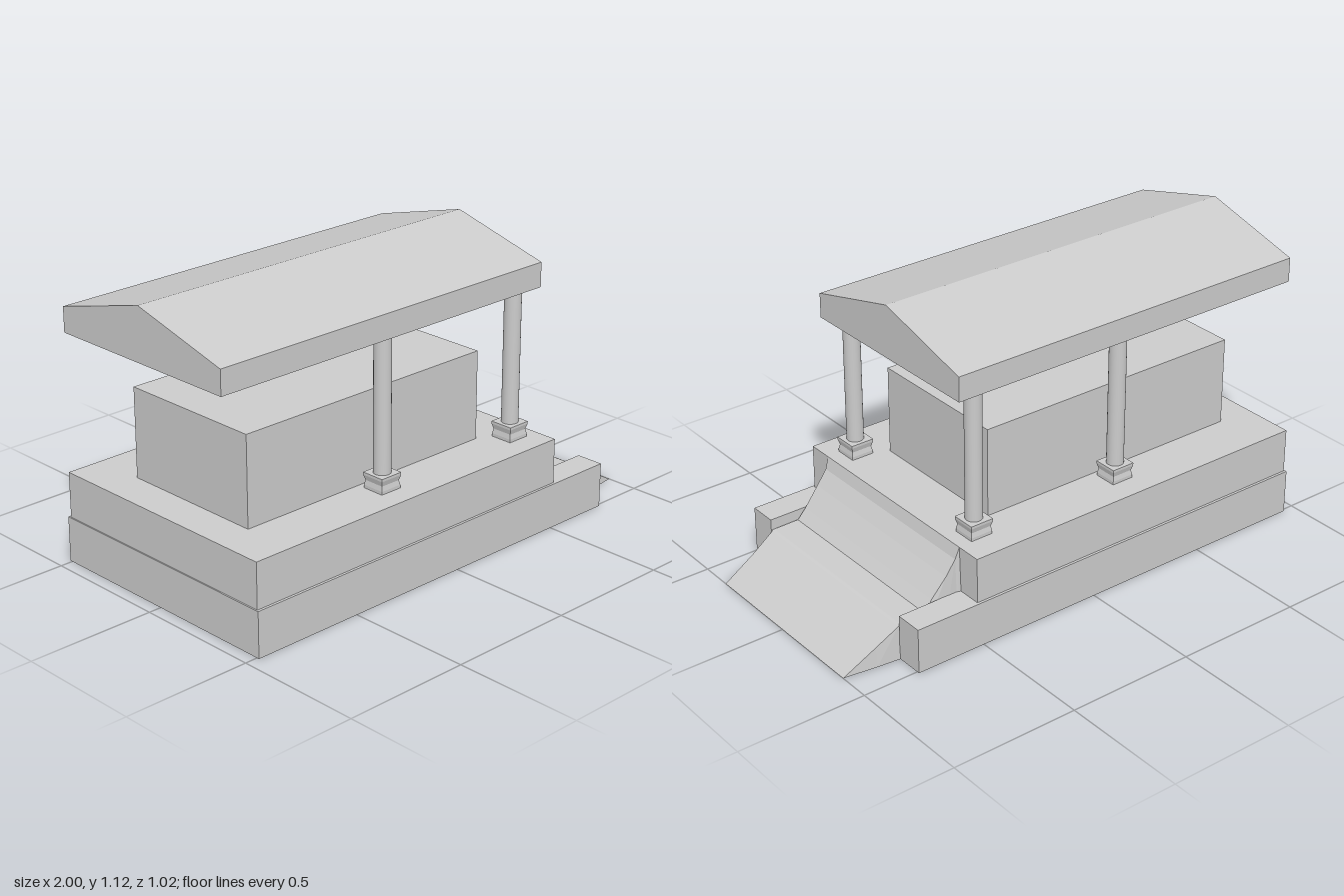
import * as THREE from 'three';

const mat = new THREE.MeshStandardMaterial({ color: 0xcccccc, flatShading: true, side: THREE.DoubleSide });
const smooth = new THREE.MeshStandardMaterial({ color: 0xcccccc });

function add(parent, name, geometry, x = 0, y = 0, z = 0, material = mat) {
  const mesh = new THREE.Mesh(geometry, material);
  mesh.name = name;
  mesh.position.set(x, y, z);
  parent.add(mesh);
  return mesh;
}

// Skin a list of cross-sections, each an equal-length row of [x, y, z]
function skin(rows) {
  const n = rows[0].length, index = [];
  for (let i = 0; i < rows.length - 1; i++)
    for (let j = 0; j < n - 1; j++) {
      const a = i * n + j, b = a + n;
      index.push(a, a + 1, b, b, a + 1, b + 1);
    }
  const g = new THREE.BufferGeometry();
  g.setAttribute('position', new THREE.Float32BufferAttribute(rows.flat(2), 3));
  g.setIndex(index);
  g.computeVertexNormals();
  return g;
}

// Upright wall along a plan path of [x, z]
const wall = (path, y0, y1) => skin([y0, y1].map(y => path.map(([x, z]) => [x, y, z])));

// Horizontal sheet with a plan outline of [x, z]
function deck(outline) {
  const shape = new THREE.Shape(outline.map(([x, z]) => new THREE.Vector2(x, -z)));
  return new THREE.ShapeGeometry(shape).rotateX(-Math.PI / 2);
}

export function createModel() {
  const model = new THREE.Group();
  model.name = 'pavilion';

  // Lower tier: open underneath, with a notch for the ramp
  const lower = new THREE.Group();
  lower.name = 'lowerTier';
  model.add(lower);
  const outer = [[0.78, 0.4], [0.78, 0.51], [-0.95, 0.51], [-0.95, -0.51], [0.78, -0.51], [0.78, -0.4]];
  add(lower, 'lowerWalls', wall(outer, 0, 0.175));
  add(lower, 'lowerDeck', deck([...outer, [0.52, -0.4], [0.52, 0.4]]), 0, 0.175);
  for (const s of [1, -1])
    add(lower, 'notchWall', wall([[0.52, s * 0.4], [0.78, s * 0.4]], 0.13, 0.175));

  // Upper tier
  const upper = new THREE.Group();
  upper.name = 'upperTier';
  model.add(upper);
  const plan = [[0.52, 0.5], [-0.945, 0.5], [-0.945, -0.5], [0.52, -0.5]];
  add(upper, 'upperWalls', wall([...plan, plan[0]], 0.175, 0.35));
  add(upper, 'upperDeck', deck(plan), 0, 0.35);

  // Two-stage ramp: x, height, half width, foot of the side skirt
  const profile = [
    [0.52, 0.35, 0.4, 0.135], [0.535, 0.305, 0.395, 0.135], [0.575, 0.25, 0.395, 0.135],
    [0.635, 0.178, 0.39, 0.135], [0.67, 0.14, 0.39, 0.135], [0.77, 0.135, 0.395, 0.13],
    [0.78, 0.13, 0.395, 0], [0.87, 0.074, 0.385, 0], [1, 0, 0.375, 0],
  ];
  add(model, 'ramp', skin(profile.map(([x, y, w, foot]) => {
    const flare = y > foot ? 0.008 : 0;
    return [[x, foot, -w - flare], [x, y, -w], [x, y, w], [x, foot, w + flare]];
  })));

  // Main block
  add(model, 'mainBlock', new THREE.BoxGeometry(1.115, 0.345, 0.59), -0.2425, 0.5225, 0);

  // Columns on waisted square plinths
  const waist = [[0, 0], [0.045, 0], [0.045, 0.012], [0.041, 0.03], [0.047, 0.05], [0.047, 0.06], [0, 0.06]]
    .map(([r, y]) => new THREE.Vector2(r * Math.SQRT2, y));
  const plinth = new THREE.LatheGeometry(waist, 4).rotateY(Math.PI / 4);
  const shaft = new THREE.CylinderGeometry(0.032, 0.032, 0.52, 24);
  for (const [x, z] of [[-0.24, 0.367], [0.42, 0.365], [-0.215, -0.36], [0.42, -0.352]]) {
    const column = new THREE.Group();
    column.name = 'column';
    column.position.set(x, 0.35, z);
    add(column, 'plinth', plinth);
    add(column, 'shaft', shaft, 0, 0.31, 0, smooth);
    model.add(column);
  }

  // Gabled roof slab running along x
  const gable = new THREE.Shape([[-0.408, 0.917], [0.408, 0.917], [0.408, 1.012], [0, 1.12], [-0.408, 1.012]]
    .map(([z, y]) => new THREE.Vector2(z, y)));
  const roof = new THREE.ExtrudeGeometry(gable, { depth: 1.52, bevelEnabled: false });
  add(model, 'roof', roof.rotateY(Math.PI / 2), -1);

  return model;
}
